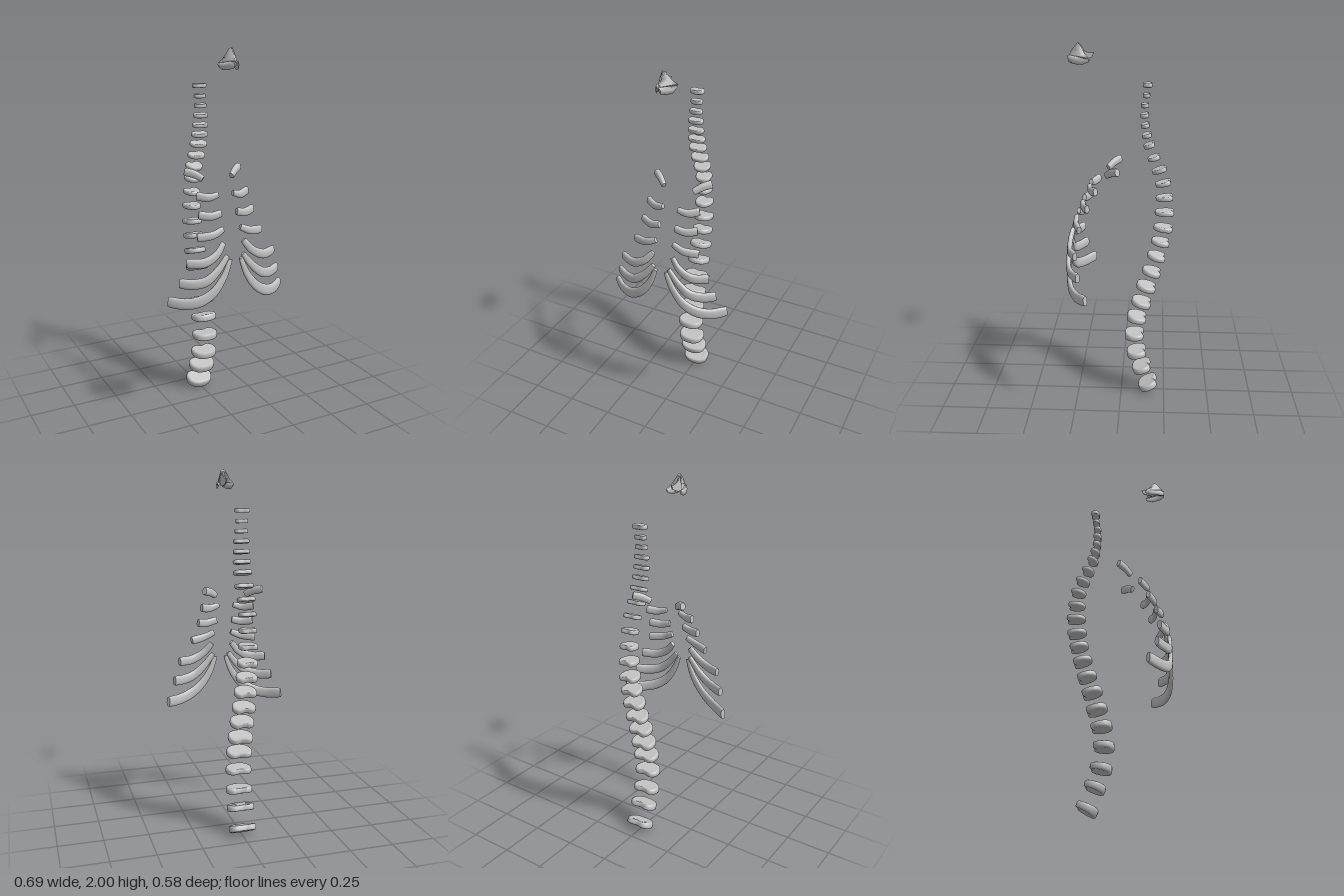
import * as THREE from 'three';

const V = (x, y, z) => new THREE.Vector3(x, y, z);

// Skin a list of rings (counter-clockwise about the loft direction) and cap both ends
function loft(rings) {
  const pos = [], idx = [], n = rings[0].length;
  const put = (p) => pos.push(p.x, p.y, p.z) / 3 - 1;
  rings.forEach((r) => r.forEach(put));
  for (let i = 0; i < rings.length - 1; i++) {
    for (let j = 0; j < n; j++) {
      const k = (j + 1) % n, a = i * n + j, b = i * n + k;
      idx.push(a, b, b + n, a, b + n, a + n);
    }
  }
  [[rings[0], true], [rings[rings.length - 1], false]].forEach(([r, start]) => {
    const c = put(r.reduce((s, p) => s.add(p), V(0, 0, 0)).divideScalar(n));
    const ids = r.map(put);
    ids.forEach((id, j) => {
      const next = ids[(j + 1) % n];
      if (start) idx.push(c, next, id); else idx.push(c, id, next);
    });
  });
  const g = new THREE.BufferGeometry();
  g.setAttribute('position', new THREE.Float32BufferAttribute(pos, 3));
  g.setIndex(idx);
  g.computeVertexNormals();
  return g;
}

// Kidney-shaped disc: width, depth, thickness; notched at the back, thicker in front
function discGeometry(w, d, t, wedge, taper) {
  const rings = [[0.6, -0.43], [0.86, -0.5], [0.97, -0.4], [1, -0.15], [1, 0.15], [0.97, 0.4], [0.86, 0.5], [0.6, 0.43]]
    .map(([s, h]) => {
      const ring = [];
      for (let i = 0; i < 28; i++) {
        const a = (i / 28) * Math.PI * 2, sn = Math.sin(a), c = Math.cos(a);
        const x = Math.sign(sn) * Math.abs(sn) ** 0.85 * (1 - taper * c);
        const notch = c < 0 ? 0.36 * Math.exp(-((x / 0.42) ** 2)) * -c : 0;
        const z = Math.sign(c) * Math.abs(c) ** 0.85 + notch;
        ring.push(V(x * s * w / 2, h * t * (1 + wedge * c), z * s * d / 2));
      }
      return ring;
    });
  return loft(rings);
}

// Flattened bar along a path, with height and thickness at its inner and outer ends
function barGeometry(points, h0, h1, t0, t1) {
  const curve = new THREE.CatmullRomCurve3(points), rings = [], steps = 20;
  for (let i = 0; i <= steps; i++) {
    const u = i / steps, c = curve.getPointAt(u), T = curve.getTangentAt(u);
    const N = T.clone().cross(V(0, 1, 0)).normalize(), H = N.clone().cross(T);
    const grow = Math.min(1, u * 1.6);
    const end = i === 0 || i === steps ? 0.88 : 1;
    const h = THREE.MathUtils.lerp(h0, h1, grow) / 2 * end;
    const t = THREE.MathUtils.lerp(t0, t1, grow) / 2 * end;
    const ring = [];
    for (let j = 0; j < 14; j++) {
      const a = (j / 14) * Math.PI * 2, ca = Math.cos(a), sa = Math.sin(a);
      ring.push(c.clone()
        .addScaledVector(H, Math.sign(ca) * Math.abs(ca) ** 0.8 * h)
        .addScaledVector(N, Math.sign(sa) * Math.abs(sa) ** 0.8 * t));
    }
    rings.push(ring);
  }
  return loft(rings);
}

// Bulged thin plate between pairs of [inner, outer] edge points
function plateGeometry(stations, side, bulge) {
  const rings = stations.map(([a, b]) => {
    const p = V(...a), q = V(...b), m = p.clone().lerp(q, 0.5);
    const ring = [p, m.clone().add(V(bulge, bulge * 0.4, 0)), q, m.clone().add(V(-0.003, -0.002, 0))];
    if (side < 0) {
      ring.forEach((v) => { v.x = -v.x; });
      ring.reverse();
    }
    return ring;
  });
  return loft(rings);
}

export function createModel() {
  const model = new THREE.Group();
  const cartilage = new THREE.MeshStandardMaterial({ color: 0xc4c4c4 });
  cartilage.name = 'cartilage grey';
  const add = (parent, name, geo) => {
    const m = new THREE.Mesh(geo, cartilage);
    m.name = name;
    parent.add(m);
    return m;
  };
  const group = (name) => {
    const g = new THREE.Group();
    g.name = name;
    model.add(g);
    return g;
  };

  // Spinal discs, top to bottom: y, z, width, depth, forward tilt in degrees
  const spine = group('spinalDiscs');
  const discs = [
    [1.787, -0.138, 0.08, 0.055, 0], [1.733, -0.132, 0.066, 0.042, 3], [1.682, -0.125, 0.072, 0.046, 5],
    [1.63, -0.124, 0.085, 0.05, 10], [1.577, -0.127, 0.09, 0.05, 12], [1.525, -0.136, 0.096, 0.056, 14],
    [1.471, -0.15, 0.1, 0.066, 19], [1.404, -0.176, 0.1, 0.073, 17], [1.337, -0.205, 0.094, 0.086, 19],
    [1.264, -0.228, 0.09, 0.09, 13], [1.183, -0.236, 0.092, 0.1, 5], [1.1, -0.238, 0.098, 0.112, 0],
    [1.011, -0.232, 0.106, 0.112, -7], [0.929, -0.218, 0.112, 0.108, -11], [0.844, -0.197, 0.12, 0.11, -15],
    [0.752, -0.171, 0.126, 0.112, -15], [0.661, -0.143, 0.132, 0.118, -15], [0.565, -0.117, 0.138, 0.12, -14],
    [0.471, -0.092, 0.142, 0.12, -9], [0.364, -0.079, 0.144, 0.118, 1], [0.251, -0.092, 0.147, 0.12, 9],
    [0.156, -0.122, 0.152, 0.116, 18], [0.048, -0.16, 0.152, 0.12, 26],
  ];
  discs.forEach(([y, z, w, d, tilt], i) => {
    const t = i < 8 ? 0.022 : 0.023 + (i - 8) * 0.0012;
    const thoracic = i > 7 && i < 16;
    const m = add(spine, 'spinalDisc' + (i + 1), discGeometry(w, d, t, i > 17 ? 0.18 : 0, thoracic ? 0.13 : 0.03));
    m.position.set(0, y, z);
    m.rotation.x = THREE.MathUtils.degToRad(tilt);
  });

  // Rib cartilages on the left side: path from breastbone outwards, then end sizes
  const ribs = [
    [[[0.085, 1.325, 0.075], [0.122, 1.348, 0.045], [0.162, 1.36, 0.013]], 0.036, 0.044, 0.026, 0.032],
    [[[0.042, 1.256, 0.168], [0.095, 1.243, 0.157], [0.15, 1.252, 0.128]], 0.03, 0.046, 0.026, 0.028],
    [[[0.045, 1.165, 0.205], [0.1, 1.153, 0.197], [0.16, 1.16, 0.172]], 0.04, 0.046, 0.026, 0.028],
    [[[0.05, 1.088, 0.238], [0.11, 1.063, 0.238], [0.188, 1.052, 0.213]], 0.034, 0.046, 0.024, 0.028],
    [[[0.058, 1.02, 0.258], [0.105, 0.965, 0.27], [0.175, 0.93, 0.265], [0.257, 0.93, 0.23]], 0.034, 0.052, 0.022, 0.028],
    [[[0.045, 0.955, 0.278], [0.1, 0.885, 0.28], [0.165, 0.833, 0.276], [0.23, 0.818, 0.252], [0.292, 0.823, 0.215]],
      0.028, 0.056, 0.02, 0.028],
    [[[0.03, 0.935, 0.283], [0.07, 0.84, 0.282], [0.13, 0.762, 0.278], [0.2, 0.72, 0.26], [0.27, 0.707, 0.225],
      [0.338, 0.715, 0.172]], 0.024, 0.062, 0.018, 0.028],
  ];
  const ribGroup = group('ribCartilages');
  for (const side of [1, -1]) {
    ribs.forEach(([path, ...sizes], i) => {
      const pts = path.map(([x, y, z]) => V(x * side, y, z));
      add(ribGroup, (side > 0 ? 'left' : 'right') + 'RibCartilage' + (i + 1), barGeometry(pts, ...sizes));
    });
  }

  // Nose: central septum blade with side wings and nostril lobes
  const nose = group('noseCartilage');
  const blade = new THREE.Shape([
    [-0.222, 1.998], [-0.2, 1.962], [-0.165, 1.947], [-0.14, 1.95], [-0.15, 1.925], [-0.2, 1.908], [-0.262, 1.91], [-0.272, 1.93],
  ].map(([x, y]) => new THREE.Vector2(x, y)));
  const septum = new THREE.ExtrudeGeometry(blade, { depth: 0.007, bevelEnabled: false });
  septum.translate(0, 0, -0.0035).rotateY(Math.PI / 2);
  add(nose, 'septum', septum);
  const wing = [
    [[0.005, 1.935, 0.268], [0.045, 1.922, 0.16]],
    [[0.004, 1.967, 0.25], [0.03, 1.945, 0.185]],
    [[0.002, 2.0, 0.222], [0.012, 1.98, 0.205]],
  ];
  const lobe = [
    [[0.003, 1.935, 0.275], [0.011, 1.903, 0.272]],
    [[0.022, 1.936, 0.252], [0.027, 1.893, 0.245]],
    [[0.035, 1.928, 0.21], [0.038, 1.89, 0.2]],
    [[0.045, 1.922, 0.163], [0.04, 1.903, 0.165]],
  ];
  for (const side of [1, -1]) {
    const label = side > 0 ? 'left' : 'right';
    add(nose, label + 'NoseWing', plateGeometry(wing, side, 0.005));
    add(nose, label + 'NostrilLobe', plateGeometry(lobe, side, 0.005));
  }
  return model;
}
